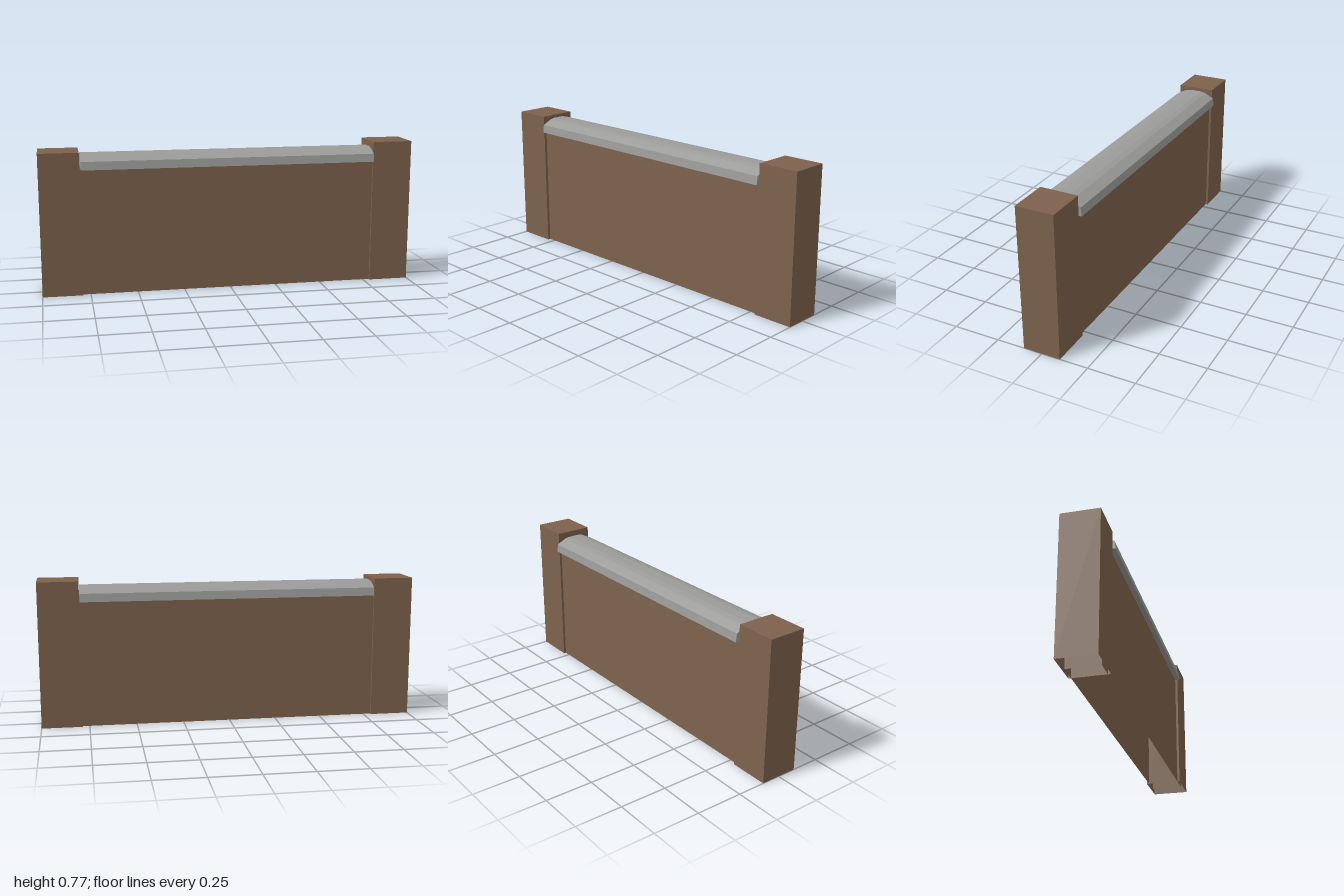
import * as THREE from 'three';

export function createModel() {
  const model = new THREE.Group();
  const brown = new THREE.MeshStandardMaterial({ color: 0x7d624c, side: THREE.DoubleSide });
  brown.name = 'brown brick';
  const grey = new THREE.MeshStandardMaterial({ color: 0x9b9b99, side: THREE.DoubleSide });
  grey.name = 'grey stone';

  function add(name, geometry, material) {
    const mesh = new THREE.Mesh(geometry, material);
    mesh.name = name;
    model.add(mesh);
    return mesh;
  }

  // Box standing on the ground with its bottom face left out
  function openBox(x0, x1, height, z0, z1) {
    const g = new THREE.BoxGeometry(x1 - x0, height, z1 - z0);
    g.translate((x0 + x1) / 2, height / 2, (z0 + z1) / 2);
    const index = Array.from(g.index.array);
    index.splice(18, 6);
    g.setIndex(index);
    g.clearGroups();
    return g;
  }

  // End posts, one slightly taller than the other
  add('rightPost', openBox(-1, -0.79, 0.755, -0.1, 0.102), brown);
  add('leftPost', openBox(0.786, 1, 0.77, -0.1, 0.1), brown);

  // Wall panel, set back from the post faces and running into the posts
  add('wall', openBox(-0.89, 0.89, 0.67, -0.087, 0.087), brown);

  // Coping stone: sloping sides under a shallow rounded top
  const profile = new THREE.Shape();
  [
    [-0.116, 0.665], [0.116, 0.665], [0.11, 0.708], [0.06, 0.733], [0.03, 0.739],
    [-0.03, 0.739], [-0.06, 0.733], [-0.11, 0.708],
  ].forEach(([z, y], i) => (i ? profile.lineTo(z, y) : profile.moveTo(z, y)));
  profile.closePath();
  const coping = new THREE.ExtrudeGeometry(profile, { depth: 1.568, bevelEnabled: false });
  coping.translate(0, 0, -0.784);
  coping.rotateY(Math.PI / 2);
  add('coping', coping, grey);

  return model;
}
